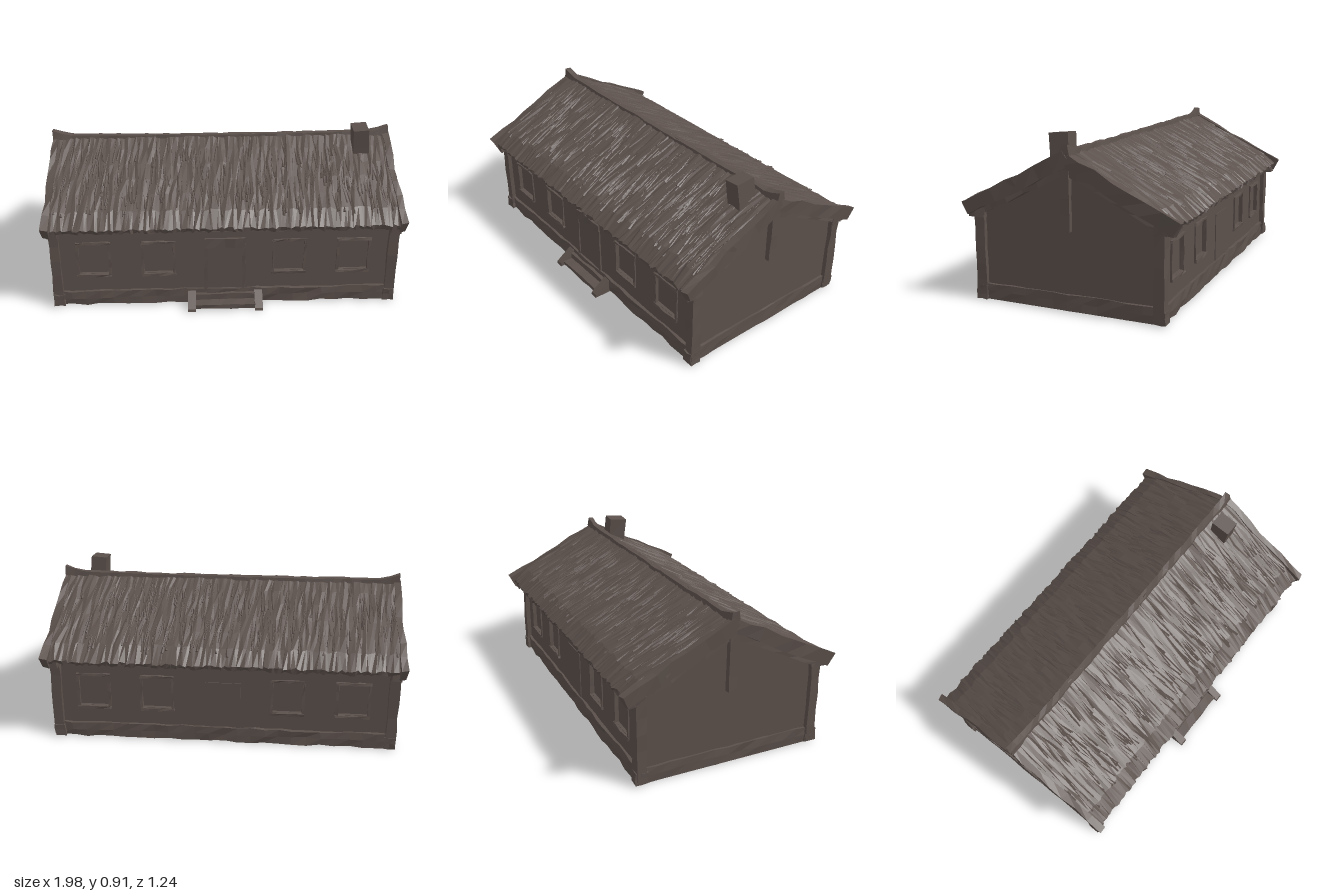
import * as THREE from 'three';
import { mergeGeometries } from 'three/addons/utils/BufferGeometryUtils.js';

const wood = new THREE.MeshStandardMaterial({ color: 0x5b504b, flatShading: true });
wood.name = 'weathered brown';

// Repeatable noise from a position, in -1..1
function noise(x, y, z, k) {
  const s = Math.sin(x * 127.1 + y * 311.7 + z * 74.7 + k * 53.3) * 43758.5453;
  return (s - Math.floor(s)) * 2 - 1;
}

// Hand-hewn look: shift corners by position so that seams stay closed
function rough(geo, ax, ay = ax, az = ax, seed = 0) {
  const p = geo.attributes.position;
  for (let i = 0; i < p.count; i++) {
    const [x, y, z] = [p.getX(i), p.getY(i), p.getZ(i)].map(v => Math.round(v * 1e4) / 1e4 + 0);
    p.setXYZ(i, x + ax * noise(x, y, z, seed + 1), y + ay * noise(x, y, z, seed + 2), z + az * noise(x, y, z, seed + 3));
  }
  geo.computeVertexNormals();
  return geo;
}

function add(parent, name, geo, x = 0, y = 0, z = 0) {
  const m = new THREE.Mesh(geo, wood);
  m.name = name;
  m.position.set(x, y, z);
  parent.add(m);
  return m;
}

// Rough box given by its size, centre and segments
function beam(parent, name, size, pos, seg = [1, 1, 1], amt = 0.004) {
  const geo = rough(new THREE.BoxGeometry(...size, ...seg), amt, amt, amt, pos[0] * 7 + pos[2] * 3 + pos[1]);
  return add(parent, name, geo, ...pos);
}

function rectPath(target, x0, y0, x1, y1) {
  target.moveTo(x0, y0);
  target.lineTo(x1, y0);
  target.lineTo(x1, y1);
  target.lineTo(x0, y1);
  target.closePath();
  return target;
}

const WINDOWS = [-0.73, -0.37, 0.36, 0.72];
const SLOPE = 0.46, LENGTH = 0.665;

// Long wall with recessed windows and a door panel
function longSide(name, isFront) {
  const g = new THREE.Group();
  g.name = name;
  const shape = rectPath(new THREE.Shape(), -0.94, 0.02, 0.94, 0.5);
  for (const x of WINDOWS) shape.holes.push(rectPath(new THREE.Path(), x - 0.085, 0.195, x + 0.085, 0.385));
  add(g, 'longWall', new THREE.ExtrudeGeometry(shape, { depth: 0.04, bevelEnabled: false }), 0, 0, 0.467);
  for (const x of WINDOWS) {
    add(g, 'windowPane', new THREE.BoxGeometry(0.19, 0.21, 0.01), x, 0.29, 0.485);
    beam(g, 'windowSill', [0.19, 0.016, 0.024], [x, 0.187, 0.508], [4, 1, 1]);
    beam(g, 'windowLintel', [0.19, 0.014, 0.02], [x, 0.389, 0.507], [4, 1, 1]);
    for (const s of [-1, 1]) beam(g, 'windowJamb', [0.014, 0.2, 0.018], [x + s * 0.088, 0.29, 0.507], [1, 4, 1], 0.003);
  }
  // Door
  if (isFront) {
    beam(g, 'doorLintel', [0.23, 0.055, 0.022], [0, 0.38, 0.508], [4, 1, 1]);
    for (const s of [-1, 1]) beam(g, 'doorPost', [0.016, 0.3, 0.02], [s * 0.107, 0.22, 0.508], [1, 4, 1], 0.003);
  }
  add(g, 'doorPanel', new THREE.BoxGeometry(0.2, 0.29, 0.008), 0, 0.22, 0.508);
  // Footing and wall plate
  beam(g, 'footing', [1.88, 0.085, 0.045], [0, 0.0465, 0.5], [24, 2, 1], 0.006);
  beam(g, 'wallPlate', [1.9, 0.035, 0.05], [0, 0.48, 0.515], [24, 1, 1], 0.006);
  return g;
}

// Thatched slope with ragged edges, loose straw and end boards
function roofSlope(name, seed) {
  const g = new THREE.Group();
  g.name = name;
  const plane = new THREE.Group();
  plane.position.set(0, 0.649, 0.287);
  plane.rotation.x = SLOPE;
  g.add(plane);
  // Thatch thins out towards the eave
  const thatch = new THREE.BoxGeometry(1.95, 0.05, LENGTH, 110, 1, 6);
  const p = thatch.attributes.position;
  for (let i = 0; i < p.count; i++) if (p.getY(i) > 0 && p.getZ(i) > 0.32) p.setY(i, 0.002);
  add(plane, 'thatch', rough(thatch, 0.008, 0.005, 0.01, seed));
  const straws = [];
  for (let i = 0; i < 380; i++) {
    const r = k => noise(i, seed, 1, k);
    const len = 0.13 + 0.06 * r(1);
    const straw = new THREE.ConeGeometry(0.008 + 0.003 * r(2), len, 3);
    straw.scale(1, 1, 0.5);
    straw.rotateX(0.03 - Math.PI / 2);
    straw.rotateY(0.16 * r(3));
    straw.translate(0.95 * r(4), 0.025, 0.22 * r(5) - 0.02);
    straws.push(straw);
  }
  add(plane, 'straw', mergeGeometries(straws));
  for (const s of [-1, 1]) {
    beam(plane, 'bargeBoard', [0.035, 0.075, LENGTH + 0.015], [s * 0.967, -0.005, 0.003], [1, 1, 7], 0.007);
    beam(plane, 'lowerBargeBoard', [0.03, 0.04, LENGTH - 0.03], [s * 0.95, -0.05, -0.012], [1, 1, 6], 0.006);
  }
  return g;
}

export function createModel() {
  const model = new THREE.Group();
  model.name = 'longhouse';

  // Front and back halves
  const front = longSide('frontSide', true);
  const back = longSide('backSide', false);
  back.rotation.y = Math.PI;
  const frontRoof = roofSlope('frontRoof', 4);
  const backRoof = roofSlope('backRoof', 9);
  backRoof.rotation.y = Math.PI;
  frontRoof.position.z = backRoof.position.z = -0.008;
  model.add(front, back, frontRoof, backRoof);

  // Floor
  add(model, 'floor', new THREE.BoxGeometry(1.9, 0.03, 1.02), 0, 0.015, 0);

  // Gable ends
  const gable = new THREE.Shape();
  gable.moveTo(-0.5, 0.02);
  gable.lineTo(0.5, 0.02);
  gable.lineTo(0.5, 0.505);
  gable.lineTo(0, 0.752);
  gable.lineTo(-0.5, 0.505);
  gable.closePath();
  for (const s of [-1, 1]) {
    const wall = add(model, 'gableWall', new THREE.ExtrudeGeometry(gable, { depth: 0.03, bevelEnabled: false }), s * 0.91);
    wall.rotation.y = s * Math.PI / 2;
    beam(model, 'gableFooting', [0.035, 0.085, 1.0], [s * 0.935, 0.0465, 0], [1, 2, 12], 0.004);
    // Hanging gable post with a slanted foot
    const post = new THREE.BoxGeometry(0.03, 0.34, 0.05, 1, 4, 1);
    const p = post.attributes.position;
    for (let i = 0; i < p.count; i++) if (p.getY(i) < -0.16 && p.getZ(i) > 0) p.setY(i, -0.15);
    add(model, 'gablePost', rough(post, 0.003), s * 0.955, 0.59, -0.004);
    // Corner posts, their feet and the beam ends under the eaves
    for (const t of [-1, 1]) {
      beam(model, 'cornerPost', [0.055, 0.46, 0.055], [s * 0.938, 0.245, t * 0.505], [1, 5, 1]);
      beam(model, 'cornerFoot', [0.06, 0.07, 0.065], [s * 0.935, 0.04, t * 0.507], [2, 2, 2], 0.005);
      beam(model, 'beamEnd', [0.06, 0.05, 0.1], [s * 0.938, 0.476, t * 0.525], [1, 1, 2], 0.006);
    }
  }

  // Ridge beam, upturned at both ends
  const ridge = new THREE.BoxGeometry(1.97, 0.05, 0.055, 36, 1, 1);
  const r = ridge.attributes.position;
  for (let i = 0; i < r.count; i++) {
    const a = Math.abs(r.getX(i));
    if (r.getY(i) > 0) r.setZ(i, r.getZ(i) * 0.6);
    r.setY(i, r.getY(i) + 0.008 * a * a + 0.028 * Math.max(0, (a - 0.86) / 0.12) ** 1.5);
  }
  add(model, 'ridgeBeam', rough(ridge, 0.003, 0.003, 0.004), 0, 0.799, -0.012);

  // Chimney, slightly crooked
  const chimney = beam(model, 'chimney', [0.09, 0.22, 0.11], [0.803, 0.786, 0.088], [1, 2, 1], 0.002);
  chimney.rotation.set(0.09, 0, -0.06);
  chimney.rotation.z = 0.08;

  // Doorstep with sloped side boards
  beam(model, 'upperStep', [0.34, 0.035, 0.05], [0, 0.049, 0.517], [5, 1, 1], 0.003);
  beam(model, 'lowerStep', [0.34, 0.026, 0.095], [0, 0.016, 0.549], [5, 1, 1], 0.003);
  const side = new THREE.Shape();
  side.moveTo(0.5, 0);
  side.lineTo(0.62, 0);
  side.lineTo(0.615, 0.015);
  side.lineTo(0.525, 0.08);
  side.lineTo(0.5, 0.08);
  side.closePath();
  for (const s of [-1, 1]) {
    const board = add(model, 'stepSide', new THREE.ExtrudeGeometry(side, { depth: 0.045, bevelEnabled: false }), s * 0.188 + 0.0225);
    board.rotation.y = -Math.PI / 2;
  }
  return model;
}
